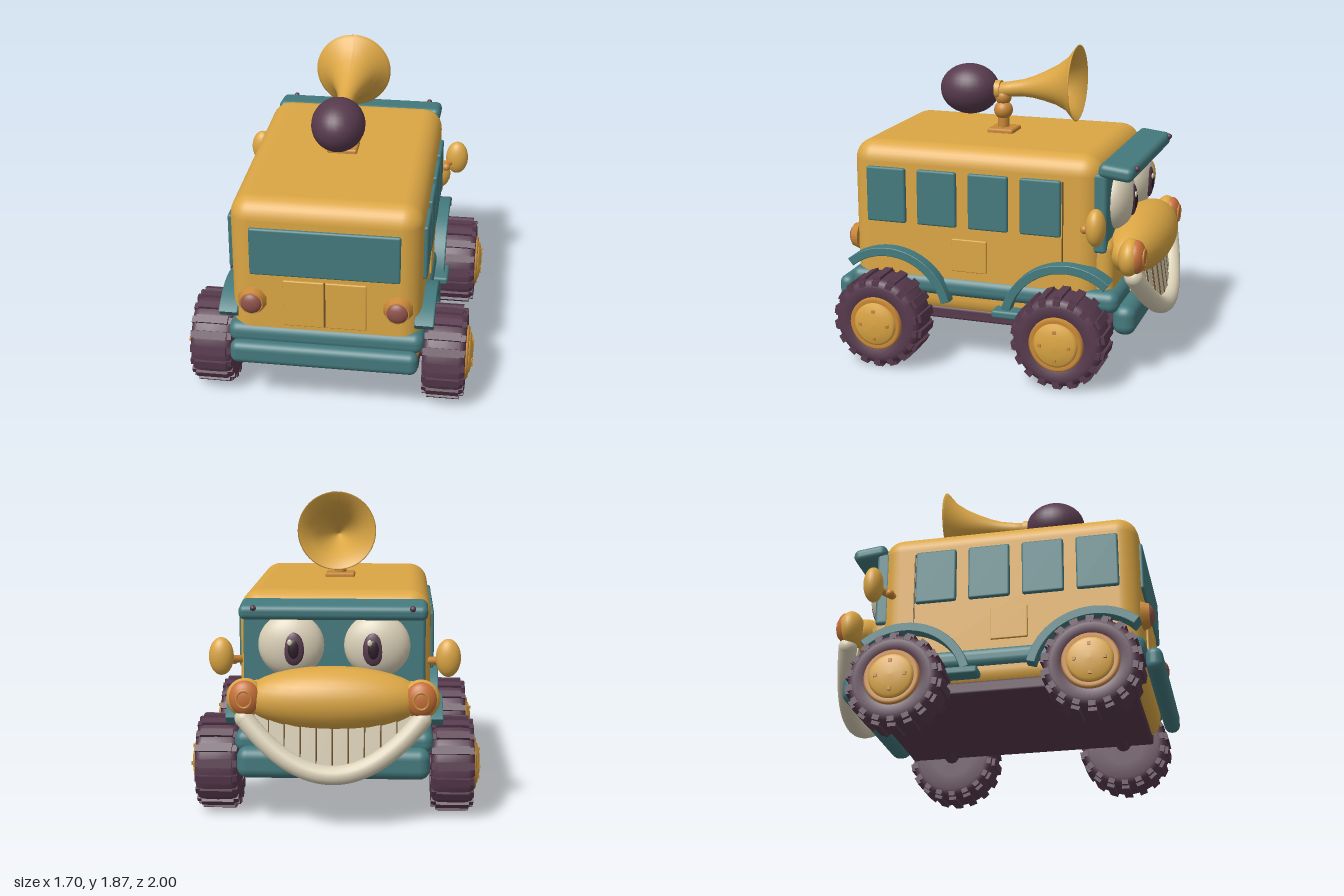
import * as THREE from 'three';
import { RoundedBoxGeometry } from 'three/addons/geometries/RoundedBoxGeometry.js';

const mat = (name, color) => {
  const m = new THREE.MeshStandardMaterial({ color });
  m.name = name;
  return m;
};

export function createModel() {
  const root = new THREE.Group();
  root.name = 'hornBus';
  const gold = mat('gold', 0xdba644);
  const amber = mat('amber', 0xc98837);
  const teal = mat('teal', 0x447a7e);
  const purple = mat('purple', 0x573a4d);
  const cream = mat('cream', 0xd9cfb6);
  const orange = mat('orange', 0xc8713a);
  const maroon = mat('maroon', 0x8e524a);
  const dark = mat('dark', 0x2c1d28);
  const seam = mat('seam', 0x6e4d22);

  const add = (name, geo, material, x = 0, y = 0, z = 0, parent = root) => {
    const m = new THREE.Mesh(geo, material);
    m.name = name;
    m.position.set(x, y, z);
    parent.add(m);
    return m;
  };
  // Rounded box given by its extents; small radii need fewer segments
  const box = (name, material, x0, x1, y0, y1, z0, z1, r = 0.01) =>
    add(name, new RoundedBoxGeometry(x1 - x0, y1 - y0, z1 - z0, r > 0.03 ? 4 : 1, r), material,
      (x0 + x1) / 2, (y0 + y1) / 2, (z0 + z1) / 2);
  const ballGeo = new THREE.SphereGeometry(1, 28, 18);
  const ball = (name, material, x, y, z, rx, ry = rx, rz = rx, parent = root) => {
    const m = add(name, ballGeo, material, x, y, z, parent);
    m.scale.set(rx, ry, rz);
    return m;
  };
  const rod = (name, material, a, b, r) => {
    const path = new THREE.LineCurve3(new THREE.Vector3(...a), new THREE.Vector3(...b));
    return add(name, new THREE.TubeGeometry(path, 1, r, 12), material);
  };
  const lathe = (pts, n = 40) => new THREE.LatheGeometry(pts.map(p => new THREE.Vector2(...p)), n);

  // Body, skirt, chassis and bumpers
  box('body', gold, -0.55, 0.55, 0.27, 1.32, -0.65, 0.89, 0.12);
  box('lowerNoseBlock', gold, -0.5, 0.5, 0.42, 0.82, -0.72, -0.5, 0.06);
  box('skirtBand', teal, -0.57, 0.57, 0.4, 0.53, -0.77, 0.91, 0.055);
  box('chassis', purple, -0.54, 0.54, 0.255, 0.33, -0.72, 0.83, 0.015);
  box('rearBumper', teal, -0.545, 0.545, 0.315, 0.455, 0.905, 1.0, 0.045);
  box('frontBumper', teal, -0.55, 0.55, 0.27, 0.45, -0.865, -0.73, 0.06);

  // Rear window, tailgate and tail lights
  box('rearWindow', teal, -0.43, 0.43, 0.87, 1.165, 0.875, 0.908, 0.012);
  for (const s of [-1, 1]) {
    box('tailgateDoor', gold, s * 0.122 - 0.118, s * 0.122 + 0.118, 0.545, 0.84, 0.88, 0.902, 0.006);
    const ring = add('tailLightRing', new THREE.CylinderGeometry(0.07, 0.088, 0.05, 10), amber, s * 0.42, 0.695, 0.91);
    ring.rotation.x = Math.PI / 2;
    ball('tailLight', maroon, s * 0.42, 0.695, 0.925, 0.064, 0.064, 0.036);
  }
  box('tailgateSeam', seam, -0.004, 0.004, 0.545, 0.84, 0.89, 0.897, 0.002);

  // Fender arch as an extruded ring section
  const archShape = new THREE.Shape();
  const a0 = THREE.MathUtils.degToRad(51), a1 = THREE.MathUtils.degToRad(165);
  archShape.absarc(0, 0, 0.4, a0, a1, false);
  archShape.absarc(0, 0, 0.355, a1, a0, true);
  const archGeo = new THREE.ExtrudeGeometry(archShape, {
    depth: 0.1, curveSegments: 28, bevelEnabled: true, bevelSize: 0.004, bevelThickness: 0.006, bevelSegments: 2
  });
  archGeo.translate(0, 0, -0.05).rotateY(-Math.PI / 2);

  // Wheel parts are turned about y, then laid sideways
  const tyreGeo = lathe([[0.13, -0.125], [0.22, -0.125], [0.25, -0.112], [0.264, -0.085], [0.267, 0],
    [0.264, 0.085], [0.25, 0.112], [0.22, 0.125], [0.17, 0.12], [0.14, 0.1]], 48);
  const rimGeo = lathe([[0.15, 0.05], [0.162, 0.1], [0.16, 0.13], [0.148, 0.14], [0.134, 0.13], [0, 0.13]]);
  const hubGeo = lathe([[0.13, 0.12], [0.13, 0.138], [0.115, 0.15], [0.06, 0.162], [0, 0.165]]);
  const lugGeo = new THREE.BoxGeometry(0.03, 0.19, 0.048);
  const shoulderGeo = new THREE.BoxGeometry(0.03, 0.03, 0.04);
  const makeWheel = (s, z) => {
    const w = new THREE.Group();
    w.name = 'wheel';
    w.position.set(s * 0.685, 0.281, z);
    w.rotation.z = -s * Math.PI / 2;
    root.add(w);
    add('tyre', tyreGeo, purple, 0, 0, 0, w);
    add('wheelBack', new THREE.CylinderGeometry(0.14, 0.14, 0.04, 32), purple, 0, -0.1, 0, w);
    add('rim', rimGeo, amber, 0, 0, 0, w);
    add('hub', hubGeo, gold, 0, 0, 0, w);
    const n = 18;
    for (let i = 0; i < n; i++) {
      const a = i / n * Math.PI * 2, c = Math.cos(a), d = Math.sin(a);
      add('treadLug', lugGeo, purple, c * 0.266, 0, d * 0.266, w).rotation.y = -a;
      for (const e of [-1, 1])
        add('shoulderLug', shoulderGeo, purple, c * 0.245, e * 0.107, d * 0.245, w).rotation.y = -a;
    }
    for (let i = 0; i < 4; i++) {
      const a = i * Math.PI / 2;
      add('bolt', new THREE.BoxGeometry(0.018, 0.02, 0.018), amber, Math.cos(a) * 0.085, 0.156, Math.sin(a) * 0.085, w);
    }
  };

  for (const s of [-1, 1]) {
    for (const z of [0.636, -0.475]) {
      makeWheel(s, z);
      const arch = add('fender', archGeo, teal, s * 0.568, 0.29, z);
      if (z < 0) arch.rotation.y = Math.PI;
      rod('axle', purple, [s * 0.4, 0.281, z], [s * 0.6, 0.281, z], 0.046);
    }
    // Side windows, fuel hatch, door seam and step
    for (let i = 0; i < 4; i++) {
      const z = 0.657 - i * 0.32;
      box('sideWindow', teal, s * 0.555 - 0.018, s * 0.555 + 0.018, 0.84, 1.175, z - 0.123, z + 0.123, 0.012);
    }
    box('sideHatch', gold, s * 0.552 - 0.01, s * 0.552 + 0.01, 0.57, 0.77, 0.027, 0.245, 0.006);
    box('doorSeam', seam, s * 0.55 - 0.003, s * 0.55 + 0.003, 0.68, 1.17, -0.439, -0.431, 0.002);
    box('step', teal, s * 0.595 - 0.055, s * 0.595 + 0.055, 0.335, 0.382, -0.22, -0.03, 0.014);

    // Wing mirrors
    rod('mirrorArm', amber, [s * 0.53, 0.91, -0.56], [s * 0.64, 0.93, -0.645], 0.022);
    ball('mirrorJoint', amber, s * 0.585, 0.91, -0.575, 0.026);
    ball('mirror', gold, s * 0.65, 0.945, -0.657, 0.072, 0.11, 0.058);

    // Eyes with iris, pupil and glint
    const eye = new THREE.Group();
    eye.name = 'eye';
    eye.position.set(s * 0.245, 1.02, -0.68);
    root.add(eye);
    ball('eyeball', cream, 0, 0, 0, 0.19, 0.185, 0.105, eye);
    ball('iris', purple, -s * 0.02, -0.01, -0.088, 0.062, 0.095, 0.025, eye);
    ball('pupil', dark, -s * 0.02, -0.01, -0.104, 0.034, 0.056, 0.014, eye);
    ball('glint', cream, -s * 0.02 + 0.02, 0.03, -0.112, 0.014, 0.018, 0.007, eye);

    // Cheek lamps
    ball('cheekHousing', gold, s * 0.495, 0.74, -0.825, 0.108, 0.112, 0.07);
    ball('cheekLamp', orange, s * 0.495, 0.745, -0.86, 0.088, 0.1, 0.055);
    const ring = add('cheekRing', new THREE.TorusGeometry(0.042, 0.008, 8, 28), amber, s * 0.495, 0.745, -0.906);
    ring.scale.y = 1.15;
    ball('visorStud', purple, s * 0.445, 1.252, -0.84, 0.017);
  }

  // Windscreen and visor
  box('windscreen', teal, -0.52, 0.52, 0.75, 1.22, -0.685, -0.6, 0.02);
  const visor = box('visor', teal, -0.53, 0.53, 1.19, 1.275, -0.835, -0.63, 0.035);
  visor.rotation.x = -0.12;

  // Snout and grin; the mouth follows one parabola
  ball('snout', gold, 0, 0.73, -0.785, 0.52, 0.185, 0.19);
  const smileY = x => 0.325 + 1.2 * x * x;
  const smileZ = x => -0.943 + 0.38 * x * x;
  const smile = [];
  for (let i = 0; i <= 16; i++) {
    const x = -0.5 + i / 16;
    smile.push(new THREE.Vector3(x, smileY(x), smileZ(x)));
  }
  add('lip', new THREE.TubeGeometry(new THREE.CatmullRomCurve3(smile), 48, 0.055, 16), cream);
  for (const p of [smile[0], smile[16]]) ball('lipEnd', cream, p.x, p.y, p.z, 0.055);
  const teeth = 10, step = 0.9 / teeth, top = 0.69;
  for (let i = 0; i < teeth; i++) {
    const x = -0.45 + (i + 0.5) * step, z = smileZ(x);
    box('tooth', cream, x - step * 0.49, x + step * 0.49, smileY(x), top, z + 0.035, z + 0.08, 0.006).rotation.x = 0.15;
    if (i) {
      const xs = x - step / 2, zs = smileZ(xs);
      box('toothGap', seam, xs - 0.004, xs + 0.004, smileY(xs), top, zs + 0.031, zs + 0.04, 0.002).rotation.x = 0.15;
    }
  }

  // Roof horn: stand, flared bell and squeeze bulb
  box('hornPlate', amber, -0.09, 0.09, 1.31, 1.345, 0.02, 0.185, 0.012);
  rod('hornPost', amber, [0, 1.32, 0.107], [0, 1.54, 0.107], 0.036);
  ball('hornJoint', amber, 0, 1.45, 0.107, 0.058);
  ball('hornClamp', amber, 0, 1.53, 0.107, 0.05);
  const bell = lathe([[0, 0], [0.045, 0], [0.047, 0.08], [0.052, 0.16], [0.067, 0.23], [0.09, 0.3], [0.122, 0.38],
    [0.165, 0.45], [0.215, 0.492], [0.23, 0.505], [0.222, 0.507], [0.16, 0.46], [0.11, 0.38], [0.07, 0.28], [0, 0.2]], 48);
  bell.rotateX(-Math.PI / 2);
  // Lift the bell gently toward its mouth
  const pos = bell.attributes.position;
  for (let i = 0; i < pos.count; i++) pos.setY(i, pos.getY(i) - pos.getZ(i) * 0.14);
  bell.computeVertexNormals();
  add('hornBell', bell, gold, 0, 1.57, 0.14);
  const collar = add('hornCollar', new THREE.CylinderGeometry(0.058, 0.058, 0.04, 28), gold, 0, 1.573, 0.14);
  collar.rotation.x = Math.PI / 2;
  ball('hornBulb', purple, 0, 1.57, 0.323, 0.157, 0.155, 0.185);

  return root;
}
